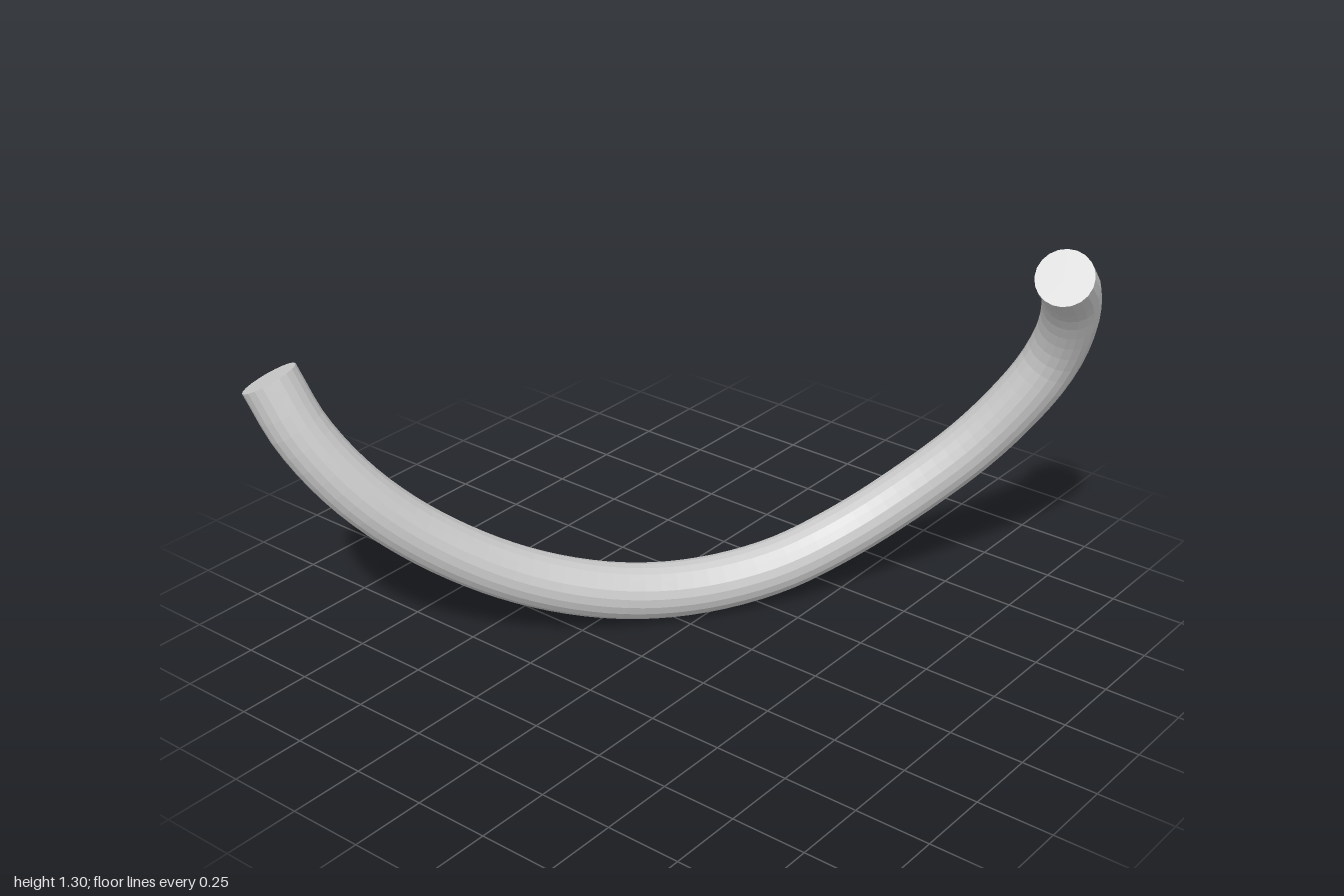
import * as THREE from 'three';

const RADIUS = 0.092;
const SIDES = 20;

export function createModel() {
  const model = new THREE.Group();
  model.name = 'curvedRod';
  const material = new THREE.MeshStandardMaterial({ color: 0xcccccc, flatShading: true });

  // Centreline of the rod, from the back right end to the hooked front left end
  const path = new THREE.CatmullRomCurve3([
    [-0.908, 0.957, -0.897], [-0.87, 0.78, -0.81], [-0.77, 0.58, -0.69],
    [-0.6, 0.385, -0.55], [-0.38, 0.22, -0.38], [-0.15, 0.123, -0.205],
    [0.07, 0.092, -0.05], [0.3, 0.123, 0.11], [0.5, 0.205, 0.24],
    [0.676, 0.345, 0.39], [0.81, 0.525, 0.55], [0.888, 0.733, 0.692],
    [0.907, 0.86, 0.757], [0.877, 0.995, 0.813], [0.8, 1.13, 0.857],
    [0.687, 1.227, 0.89],
  ].map((p) => new THREE.Vector3(...p)));

  const rod = new THREE.Mesh(new THREE.TubeGeometry(path, 64, RADIUS, SIDES), material);
  rod.name = 'rod';
  model.add(rod);

  // Flat end caps, aligned with the first and last rings of the tube
  const frames = path.computeFrenetFrames(64, false);
  for (const [name, t, i, sign] of [['backEndCap', 0, 0, -1], ['frontEndCap', 1, 64, 1]]) {
    const outward = frames.tangents[i].clone().multiplyScalar(sign);
    const across = frames.normals[i];
    const up = new THREE.Vector3().crossVectors(outward, across);
    const cap = new THREE.Mesh(new THREE.CircleGeometry(RADIUS, SIDES), material);
    cap.name = name;
    cap.quaternion.setFromRotationMatrix(new THREE.Matrix4().makeBasis(across, up, outward));
    cap.position.copy(path.getPointAt(t));
    model.add(cap);
  }
  return model;
}
